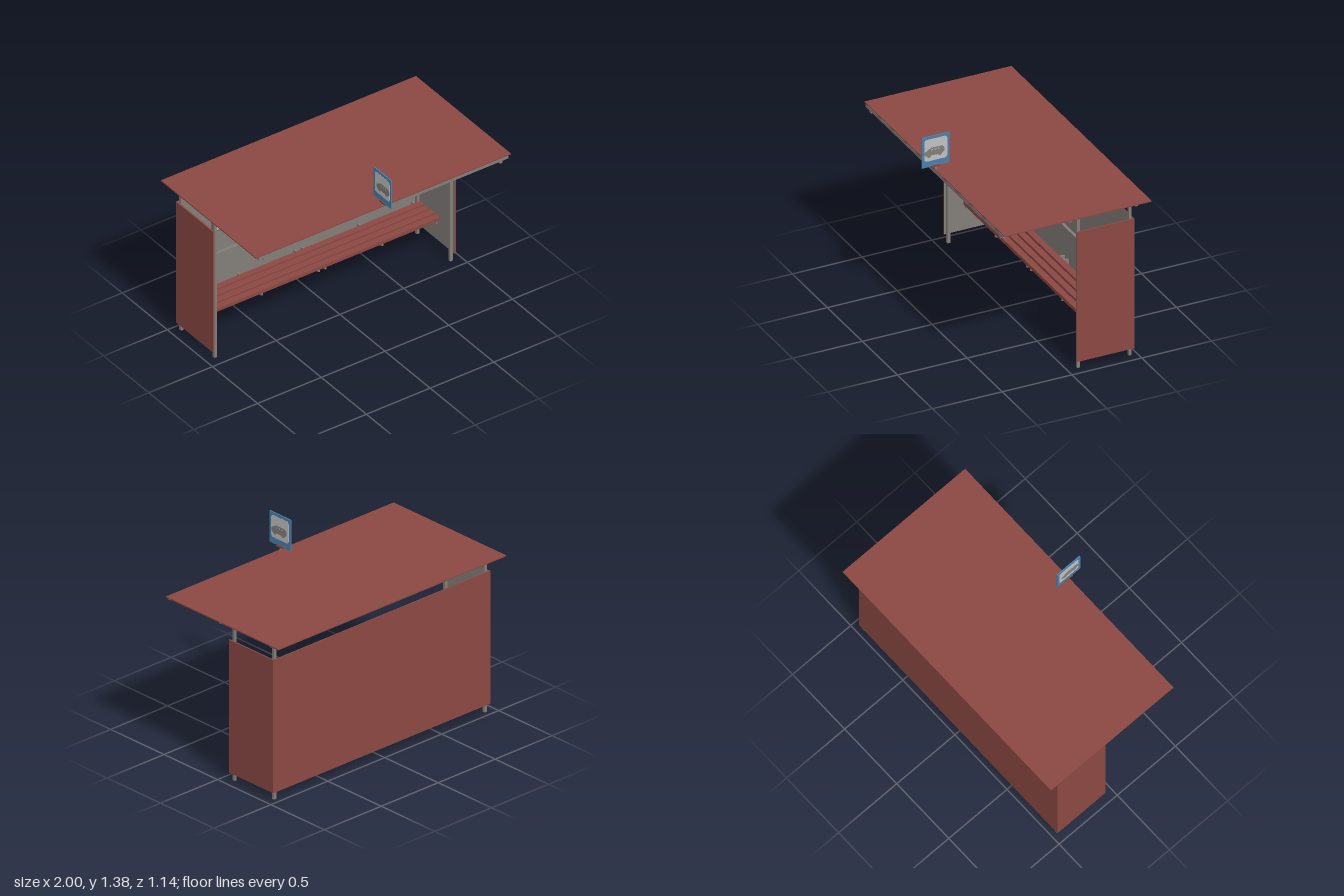
import * as THREE from 'three';

const mat = (name, color) => {
  const m = new THREE.MeshStandardMaterial({ color });
  m.name = name;
  return m;
};

export function createModel() {
  const red = mat('brick red', 0x8b4843);
  const grey = mat('warm grey', 0x827e79);
  const pale = mat('pale grey', 0xc0c0c0);
  const blue = mat('sign blue', 0x4880ac);

  const root = new THREE.Group();
  root.name = 'busShelter';

  const add = (name, geo, material, parent = root) => {
    const mesh = new THREE.Mesh(geo, material);
    mesh.name = name;
    parent.add(mesh);
    return mesh;
  };
  // Box given by its limits on each axis
  const box = (name, x0, x1, y0, y1, z0, z1, material, parent) => {
    const mesh = add(name, new THREE.BoxGeometry(x1 - x0, y1 - y0, z1 - z0), material, parent);
    mesh.position.set((x0 + x1) / 2, (y0 + y1) / 2, (z0 + z1) / 2);
    return mesh;
  };
  // Red box with one grey face (order: +x -x +y -y +z -z)
  const redWithGrey = (face) => Array.from({ length: 6 }, (_, i) => (i === face ? grey : red));
  const roundedRect = (w, h, r) => {
    const s = new THREE.Shape();
    s.moveTo(-w / 2 + r, -h / 2);
    s.absarc(w / 2 - r, -h / 2 + r, r, -Math.PI / 2, 0);
    s.absarc(w / 2 - r, h / 2 - r, r, 0, Math.PI / 2);
    s.absarc(-w / 2 + r, h / 2 - r, r, Math.PI / 2, Math.PI);
    s.absarc(-w / 2 + r, -h / 2 + r, r, Math.PI, Math.PI * 1.5);
    return s;
  };
  const plate = (shape, depth) =>
    new THREE.ExtrudeGeometry(shape, { depth, bevelEnabled: false, curveSegments: 5 });

  // Walls: red outside, grey inside
  box('backWall', -0.953, 0.953, 0.055, 1.003, -0.472, -0.464, redWithGrey(4));
  box('leftWall', 0.943, 0.953, 0.055, 1.003, -0.464, -0.06, redWithGrey(1));
  box('rightWall', -0.953, -0.943, 0.055, 1.003, -0.464, -0.06, redWithGrey(0));

  // Posts and roof arms on both sides
  for (const side of [-1, 1]) {
    const x = side * 0.925;
    for (const z of [-0.08, -0.45]) {
      box('post', x - 0.01, x + 0.01, 0, 1.086, z - 0.01, z + 0.01, grey);
    }
    box('roofArm', x - 0.01, x + 0.01, 1.085, 1.105, -0.5, 0.48, grey);
  }

  // Roof sheet on three long purlins
  for (const z of [0.475, 0, -0.475]) {
    box('purlin', -0.978, 0.978, 1.105, 1.125, z - 0.01, z + 0.01, grey);
  }
  box('roof', -1, 1, 1.125, 1.133, -0.57, 0.483, redWithGrey(3));

  // Rail along the back wall
  box('backRail', -0.915, 0.915, 0.47, 0.49, -0.46, -0.44, grey);

  // Bench slats
  for (let i = 0; i < 4; i++) {
    const z = -0.41 + i * 0.06;
    box('benchSlat', -0.918, 0.918, 0.255, 0.28, z, z + 0.045, red);
  }

  // Tapered bench brackets fixed to the back wall
  const bracketShape = new THREE.Shape(
    [[-0.464, 0.155], [-0.445, 0.155], [-0.445, 0.175], [-0.19, 0.235], [-0.19, 0.255], [-0.464, 0.255]]
      .map(([z, y]) => new THREE.Vector2(-z, y)));
  for (const x of [-0.9, -0.475, -0.028, 0.025, 0.47, 0.893]) {
    const bracket = add('benchBracket', plate(bracketShape, 0.012), grey);
    bracket.rotation.y = Math.PI / 2;
    bracket.position.x = x - 0.006;
  }

  // Two framed notice panels on the inside of the back wall
  for (const x of [-0.58, -0.317]) {
    const notice = new THREE.Group();
    notice.name = 'noticePanel';
    notice.position.set(x, 0.793, -0.464);
    root.add(notice);
    box('noticeFrame', -0.098, 0.098, -0.141, 0.141, 0, 0.008, red, notice);
    add('noticeSheet', plate(roundedRect(0.18, 0.262, 0.014), 0.003), pale, notice).position.z = 0.007;
  }

  // Stop sign above the front edge of the roof
  const sign = new THREE.Group();
  sign.name = 'stopSign';
  root.add(sign);
  box('signStem', -0.005, 0.005, 1.12, 1.155, 0.469, 0.481, grey, sign);
  box('signClamp', -0.009, 0.009, 1.151, 1.165, 0.445, 0.507, red, sign);
  box('signBoard', -0.004, 0.004, 1.158, 1.38, 0.378, 0.574, blue, sign);

  // Simple vehicle pictogram, with wheel arcs under a rounded body and window openings
  const vehicle = new THREE.Shape();
  vehicle.moveTo(-0.071, 0.004);
  vehicle.quadraticCurveTo(-0.074, -0.022, -0.056, -0.026);
  vehicle.absarc(-0.04, -0.024, 0.014, Math.PI, Math.PI * 2);
  vehicle.lineTo(0.022, -0.026);
  vehicle.absarc(0.038, -0.022, 0.014, Math.PI, Math.PI * 2);
  vehicle.quadraticCurveTo(0.072, -0.018, 0.072, 0.004);
  vehicle.quadraticCurveTo(0.07, 0.028, 0.045, 0.03);
  vehicle.lineTo(-0.025, 0.032);
  vehicle.quadraticCurveTo(-0.045, 0.02, -0.071, 0.004);
  for (const x of [-0.018, 0.006, 0.03]) {
    const hole = roundedRect(0.013, 0.008, 0.002).getPoints(3)
      .map((p) => new THREE.Vector2(p.x + x, p.y + 0.016));
    vehicle.holes.push(new THREE.Path(hole));
  }
  for (const side of [-1, 1]) {
    const face = new THREE.Group();
    face.name = 'signFace';
    face.rotation.y = side * Math.PI / 2;
    face.position.set(side * 0.0035, 1.281, 0.476);
    sign.add(face);
    add('signPanel', plate(roundedRect(0.164, 0.158, 0.02), 0.0015), pale, face);
    const icon = add('signPictogram', plate(vehicle, 0.0015), grey, face);
    icon.position.set(side * -0.009, -0.016, 0.001);
  }

  return root;
}
